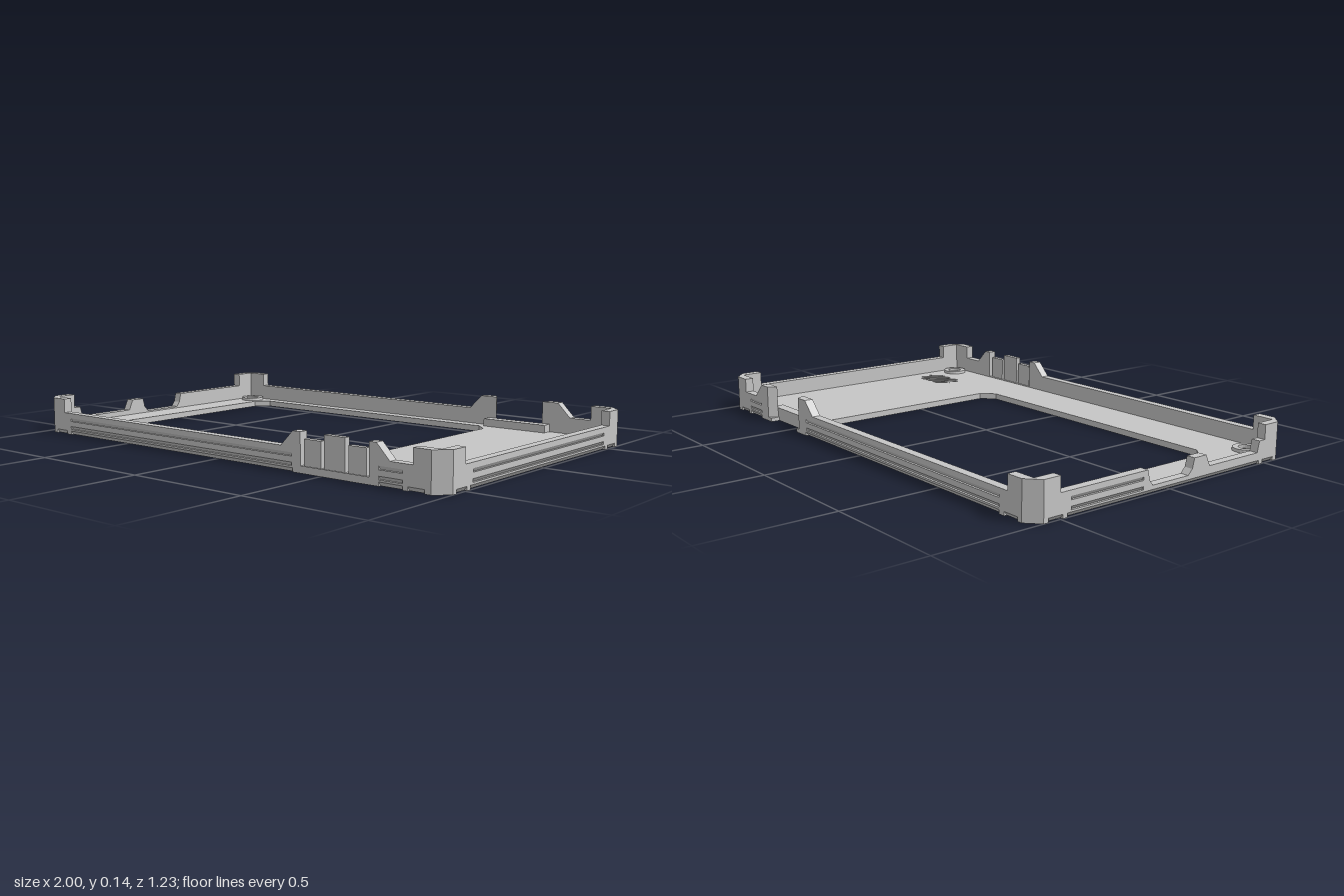
import * as THREE from 'three';

export function createModel() {
  const model = new THREE.Group();
  const grey = new THREE.MeshStandardMaterial({ color: 0xc6c6c6, side: THREE.DoubleSide });
  grey.name = 'light grey plastic';
  const X = 1, Z = 0.617, BASE = 0.015, FLOOR = 0.024, LOW = 0.088, HIGH = 0.144;

  const add = (name, geo) => {
    const mesh = new THREE.Mesh(geo, grey);
    mesh.name = name;
    model.add(mesh);
    return mesh;
  };
  const path = (pts) => pts.map(([a, b]) => new THREE.Vector2(a, b));
  const shapeOf = (pts, holes = []) => {
    const s = new THREE.Shape(path(pts));
    for (const h of holes) s.holes.push(new THREE.Path(path(h)));
    return s;
  };
  const rect = (a, b, c, d) => [[a, c], [b, c], [b, d], [a, d]];
  const circle = (x, y, r) => Array.from({ length: 24 }, (_, i) => {
    const t = (i / 24) * Math.PI * 2;
    return [x + r * Math.cos(t), y + r * Math.sin(t)];
  });
  // Extrusion of an outline across one axis, from lo to hi
  const slab = (name, axis, pts, lo, hi, holes) => {
    const g = new THREE.ExtrudeGeometry(shapeOf(pts, holes), { depth: hi - lo, bevelEnabled: false });
    if (axis === 'y') g.rotateX(Math.PI / 2).translate(0, hi, 0);
    else if (axis === 'x') g.rotateY(-Math.PI / 2).translate(hi, 0, 0);
    else g.translate(0, 0, lo);
    return add(name, g);
  };
  const box = (name, x0, x1, y0, y1, z0, z1) =>
    add(name, new THREE.BoxGeometry(x1 - x0, y1 - y0, z1 - z0)
      .translate((x0 + x1) / 2, (y0 + y1) / 2, (z0 + z1) / 2));
  // Downward-facing slope along a wall: flush at the top, recessed at the bottom
  const slope = (name, wallAxis, outer, depth, a, b, y0, y1) => {
    const inner = outer - Math.sign(outer) * depth;
    slab(name, wallAxis === 'z' ? 'x' : 'z', [[outer, y1], [inner, y1], [inner, y0]], a, b);
  };

  // Openings in the floor: screen window, screw holes and slanted vents
  const c = 0.05, wx0 = -0.84, wx1 = 0.45, wz0 = -0.53, wz1 = 0.375;
  const windowHole = [
    [wx0 + c, wz0], [wx1 - c, wz0], [wx1, wz0 + c], [wx1, wz1 - c],
    [wx1 - c, wz1], [wx0 + c, wz1], [wx0, wz1 - c], [wx0, wz0 + c]];
  const screws = [-0.9, 0.9].flatMap((x) => [-0.525, 0.52].map((z) => [x, z]));
  const vents = [0, 1, 2, 3, 4].map((i) => {
    const s = 1.08 + i * 0.049, w = 0.014;
    const z0 = Math.max(0.305, s - 0.9), z1 = Math.min(0.42, s - 0.73);
    return [[s - z0 - w, z0], [s - z0 + w, z0], [s - z1 + w, z1], [s - z1 - w, z1]];
  });
  const openings = [windowHole, ...vents, ...screws.map(([x, z]) => circle(x, z, 0.05))];

  // Lower floor layer, with notches around its rim
  const n = 0.012;
  const frontNotches = [[-0.93, -0.865, n], [-0.84, 0.375, n], [0.745, 0.84, n], [0.86, 0.925, n]];
  const backNotches = [[-0.93, -0.865, n], [-0.84, 0.375, n], [0.45, 0.66, 0.037],
    [0.745, 0.84, n], [0.86, 0.925, n]];
  const sideNotches = [[-0.55, -0.49, n], [-0.47, 0.47, n], [0.49, 0.55, n]];
  const edge = (list, put) => list.flatMap(([a, b, d]) => [put(a, 0), put(a, d), put(b, d), put(b, 0)]);
  const rim = [
    [-0.95, Z], ...edge(frontNotches, (t, d) => [t, Z - d]), [0.95, Z],
    [X, 0.57], ...edge(sideNotches, (t, d) => [X - d, t]).reverse(), [X, -0.57],
    [0.95, -Z], ...edge(backNotches, (t, d) => [t, -Z + d]).reverse(), [-0.95, -Z],
    [-X, -0.57], ...edge(sideNotches, (t, d) => [-X + d, t]), [-X, 0.57]];
  slab('lowerFloor', 'y', rim, 0, BASE, openings);
  slab('upperFloor', 'y', rect(-0.97, 0.97, -0.58, 0.585), BASE, FLOOR, openings);
  const edgeSlopes = [['z', Z, frontNotches], ['z', -Z, backNotches], ['x', X, sideNotches], ['x', -X, sideNotches]];
  for (const [axis, outer, list] of edgeSlopes) {
    for (const [a, b, d] of list) if (d === n) slope('rimSlope', axis, outer, n, a, b, 0, BASE);
  }

  // Countersunk screw bosses with flat tops
  for (const [x, z] of screws) {
    const profile = path([[0.05, 0], [0.028, 0.022], [0.028, 0.036], [0.05, 0.036], [0.052, FLOOR]]);
    const geo = new THREE.LatheGeometry(profile, 24).toNonIndexed();
    geo.computeVertexNormals();
    add('screwBoss', geo.translate(x, 0, z));
  }

  // Tall chamfered corner posts
  for (const sx of [-1, 1]) for (const sz of [-1, 1]) {
    const pts = [[0.95, Z], [X, 0.57], [X, 0.5], [0.965, 0.5], [0.965, 0.582], [0.88, 0.582], [0.88, Z]];
    slab('cornerPost', 'y', pts.map(([x, z]) => [x * sx, z * sz]), BASE, HIGH);
  }

  // Walls: plain inner core and an outer skin cut by long sloped grooves
  const wall = (name, axis, side, outer, pts, [a, b]) => {
    const grooves = [[0.022, 0.034], [0.055, 0.068]];
    const layer = (part, i, o, h) =>
      slab(name + part, axis, pts, Math.min(side * i, side * o), Math.max(side * i, side * o), h);
    layer('Core', outer - 0.035, outer - 0.009);
    layer('Skin', outer - 0.009, outer, grooves.map(([y0, y1]) => rect(a, b, y0, y1)));
    for (const [y0, y1] of grooves) slope(name + 'Groove', axis, side * outer, 0.009, a, b, y0, y1);
  };
  const mainRun = [[-0.88, BASE], [-0.88, LOW], [0.32, LOW], [0.375, HIGH]];
  const endRun = (x) => [[x, BASE], [x, HIGH], [0.735, HIGH], [0.79, LOW], [0.88, LOW], [0.88, BASE]];
  wall('frontWall', 'z', 1, Z, [...mainRun, [0.41, HIGH], [0.41, BASE]], [-0.84, 0.37]);
  wall('frontWallEnd', 'z', 1, Z, endRun(0.705), [0.745, 0.84]);
  wall('backWall', 'z', -1, Z, [...mainRun, [0.43, HIGH], [0.43, BASE]], [-0.84, 0.37]);
  wall('backWallEnd', 'z', -1, Z, endRun(0.685), [0.745, 0.84]);
  wall('leftWall', 'x', 1, X, rect(-0.5, 0.5, BASE, LOW), [-0.455, 0.455]);
  // Opposite side wall, with a port gap, a tab and a lowered run
  wall('rightWall', 'x', -1, X, [
    [-0.5, BASE], [-0.5, LOW], [-0.11, LOW], [-0.1, 0.05], [-0.085, 0.03], [0.09, 0.03],
    [0.11, 0.05], [0.12, LOW], [0.18, LOW], [0.2, 0.045], [0.46, 0.045], [0.47, LOW],
    [0.5, LOW], [0.5, BASE]], [-0.455, -0.13]);

  // Slanted cheeks either side of the back opening
  for (const [x, tip] of [[0.43, 0.45], [0.685, 0.665]]) {
    slab('openingCheek', 'y', [[x, -Z], [tip, -0.582], [x, -0.582]], BASE, HIGH);
  }

  // Front push buttons on thin flexible tongues
  box('buttonSill', 0.41, 0.705, BASE, 0.026, 0.582, Z);
  for (const [x0, x1, top] of [[0.422, 0.498, 0.12], [0.512, 0.602, HIGH], [0.616, 0.692, 0.12]]) {
    box('button', x0, x1, 0.02, top, 0.59, 0.612);
  }

  // Raised rib behind the back opening
  box('backRib', 0.415, 0.7, FLOOR, 0.055, -0.582, -0.54);

  return model;
}
